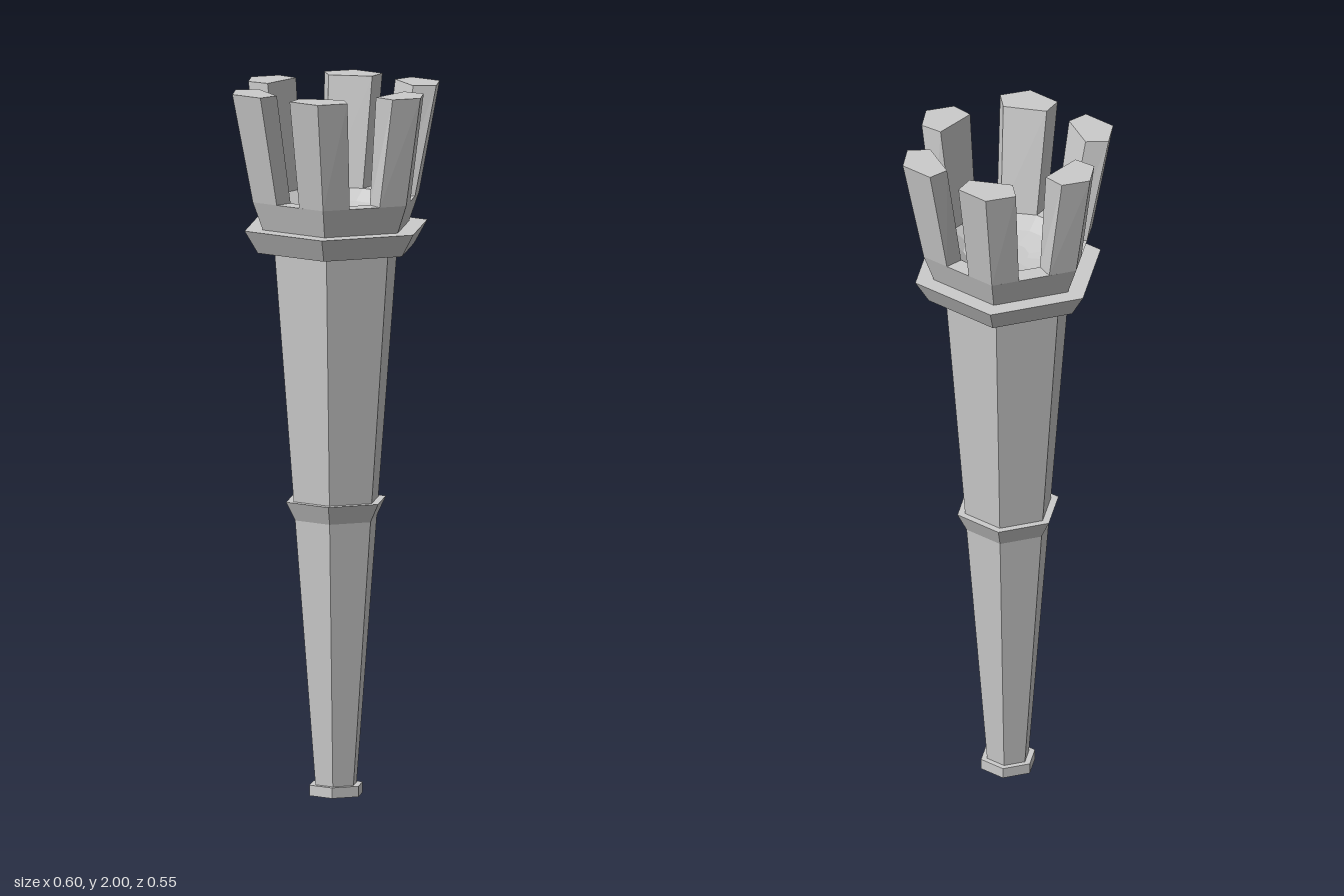
import * as THREE from 'three';

const material = new THREE.MeshStandardMaterial({ color: 0xcccccc, flatShading: true });

function addMesh(group, name, geometry) {
  const mesh = new THREE.Mesh(geometry, material);
  mesh.name = name;
  group.add(mesh);
  return mesh;
}

// Six-sided tapered section with its corners on the x axis
function addHex(group, name, y0, r0, y1, r1, open = false) {
  const geometry = new THREE.CylinderGeometry(r1, r0, y1 - y0, 6, 1, open, Math.PI / 2);
  geometry.translate(0, (y0 + y1) / 2, 0);
  return addMesh(group, name, geometry);
}

// Skin over rings of [x, z] points at given heights; the last ring is capped
function loft(rings) {
  const n = rings[0].points.length;
  const positions = [];
  const put = (ring, i) => {
    const [x, z] = ring.points[i % n];
    positions.push(x, ring.y, z);
  };
  for (let k = 0; k < rings.length - 1; k++) {
    const a = rings[k], b = rings[k + 1];
    for (let i = 0; i < n; i++) {
      put(a, i); put(b, i); put(a, i + 1);
      put(a, i + 1); put(b, i); put(b, i + 1);
    }
  }
  const last = rings[rings.length - 1];
  const cx = last.points.reduce((s, p) => s + p[0], 0) / n;
  const cz = last.points.reduce((s, p) => s + p[1], 0) / n;
  for (let i = 0; i < n; i++) {
    positions.push(cx, last.y, cz);
    put(last, i + 1);
    put(last, i);
  }
  const geometry = new THREE.BufferGeometry();
  geometry.setAttribute('position', new THREE.Float32BufferAttribute(positions, 3));
  geometry.computeVertexNormals();
  return geometry;
}

// Mirror a ring of points, keeping its direction of travel
function mirror(points, sx, sz) {
  const out = points.map(([x, z]) => [x * sx, z * sz]);
  return sx * sz < 0 ? out.reverse() : out;
}

export function createModel() {
  const model = new THREE.Group();
  model.name = 'torch';
  const rimY = 1.69, topY = 2;

  // Handle and its collars
  addHex(model, 'basePommel', 0, 0.08, 0.03, 0.08);
  addHex(model, 'shaft', 0.03, 0.062, 1.56, 0.186);
  addHex(model, 'middleCollar', 0.78, 0.122, 0.835, 0.15);
  addHex(model, 'upperCollar', 1.545, 0.235, 1.61, 0.275);

  // Cup: outer wall, flat rim and shallow bowl
  addHex(model, 'cupWall', 1.61, 0.22, rimY, 0.25, true);
  const quarter = [[0.16, 0.05], [0.122, 0.113], [0.033, 0.163]];
  const inner = [
    ...quarter,
    ...mirror(quarter, -1, 1),
    ...mirror(quarter, -1, -1),
    ...mirror(quarter, 1, -1),
  ];
  const rim = new THREE.Shape();
  for (let i = 0; i < 6; i++) {
    const a = (i * Math.PI) / 3;
    rim[i ? 'lineTo' : 'moveTo'](0.25 * Math.cos(a), 0.25 * Math.sin(a));
  }
  rim.closePath();
  rim.holes.push(new THREE.Path(inner.map(([x, z]) => new THREE.Vector2(x, z))));
  const rimGeometry = new THREE.ShapeGeometry(rim);
  rimGeometry.rotateX(-Math.PI / 2);
  rimGeometry.translate(0, rimY, 0);
  addMesh(model, 'cupRim', rimGeometry);
  addMesh(model, 'bowl', loft([
    { y: rimY, points: inner },
    { y: 1.66, points: inner.map(([x, z]) => [x * 0.75, z * 0.75]) },
    { y: 1.65, points: inner.map(([x, z]) => [x * 0.35, z * 0.35]) },
  ]));

  // Flared prongs standing on the rim corners
  const prongs = new THREE.Group();
  prongs.name = 'prongs';
  model.add(prongs);
  const side = {
    bottom: [[0.25, 0], [0.21, 0.069], [0.16, 0.05], [0.16, -0.05], [0.21, -0.069]],
    top: [[0.301, 0], [0.257, 0.07], [0.193, 0.064], [0.193, -0.064], [0.257, -0.07]],
  };
  const corner = {
    bottom: [[0.165, 0.147], [0.125, 0.2165], [0.04, 0.2165], [0.033, 0.163], [0.122, 0.113]],
    top: [[0.199, 0.2], [0.152, 0.275], [0.052, 0.275], [0.041, 0.215], [0.151, 0.157]],
  };
  const addProng = (name, { bottom, top }, sx, sz) => addMesh(prongs, name, loft([
    { y: rimY, points: mirror(bottom, sx, sz) },
    { y: topY, points: mirror(top, sx, sz) },
  ]));
  for (const sx of [1, -1]) {
    const label = sx > 0 ? 'left' : 'right';
    addProng(label + 'Prong', side, sx, 1);
    addProng(label + 'FrontProng', corner, sx, 1);
    addProng(label + 'BackProng', corner, sx, -1);
  }
  return model;
}
